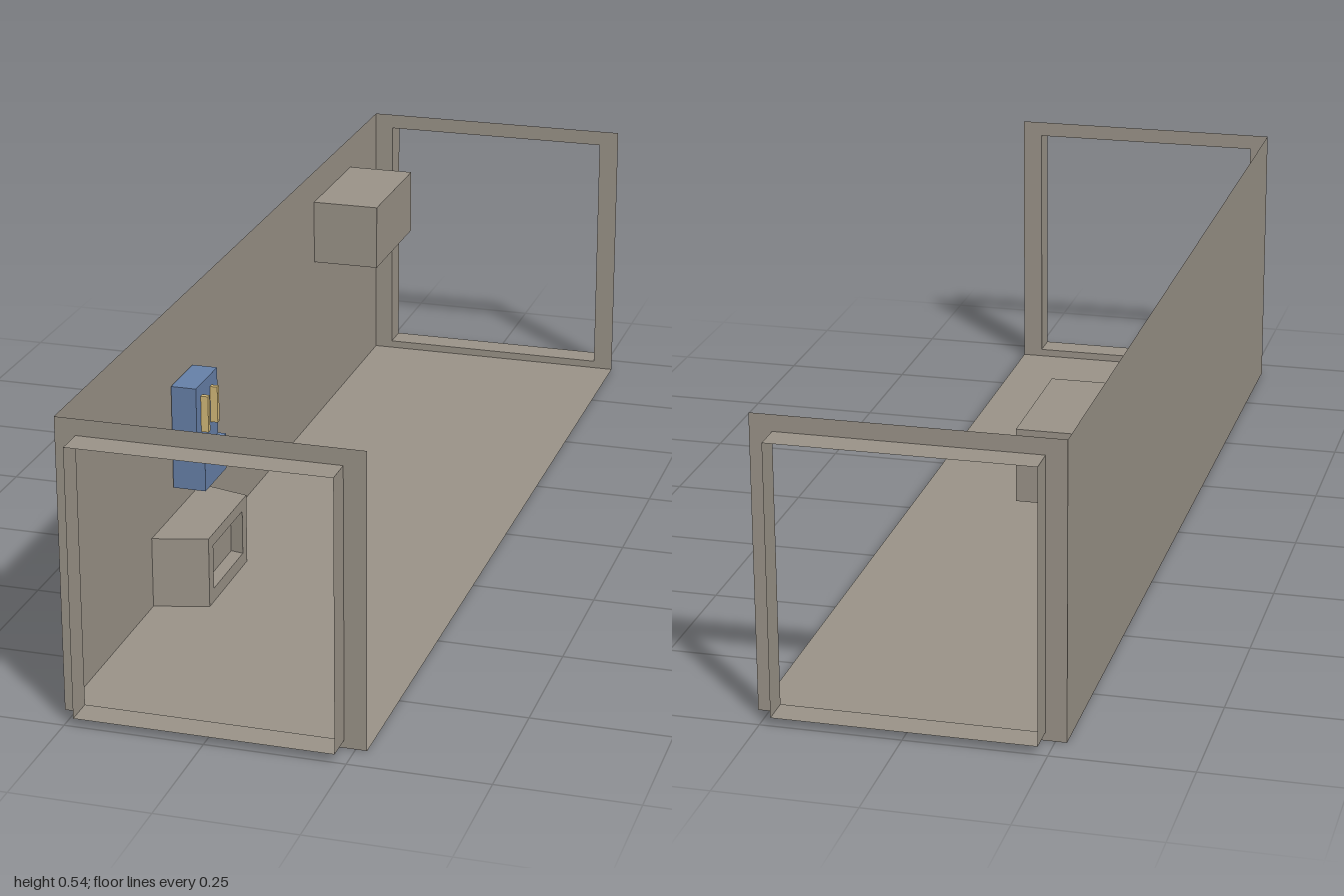
import * as THREE from 'three';

const HALF_W = 0.27, HEIGHT = 0.54, HALF_L = 0.945;
const OPEN = { x0: -0.233, x1: 0.23, y0: 0.015, y1: 0.51 };

export function createModel() {
  const model = new THREE.Group();
  model.name = 'cabinShell';
  const sheet = new THREE.MeshStandardMaterial({ name: 'warm grey', color: 0x9a9388, side: THREE.DoubleSide });
  const blue = new THREE.MeshStandardMaterial({ name: 'blue', color: 0x6680a8 });
  const yellow = new THREE.MeshStandardMaterial({ name: 'yellow', color: 0xd2b878 });

  const add = (name, geometry, material, parent = model) => {
    const mesh = new THREE.Mesh(geometry, material);
    mesh.name = name;
    parent.add(mesh);
    return mesh;
  };
  // Box given by its minimum and maximum on each axis
  const box = (x0, x1, y0, y1, z0, z1) =>
    new THREE.BoxGeometry(x1 - x0, y1 - y0, z1 - z0)
      .translate((x0 + x1) / 2, (y0 + y1) / 2, (z0 + z1) / 2);
  const rect = (C, a0, a1, b0, b1) => new C([
    new THREE.Vector2(a0, b0), new THREE.Vector2(a1, b0),
    new THREE.Vector2(a1, b1), new THREE.Vector2(a0, b1),
  ]);

  // Floor and the single side wall, both thin sheets
  add('floor', new THREE.PlaneGeometry(2 * HALF_W, 2 * HALF_L).rotateX(-Math.PI / 2), sheet);
  add('sideWall', new THREE.PlaneGeometry(2 * HALF_L, HEIGHT).rotateY(Math.PI / 2)
    .translate(-HALF_W, HEIGHT / 2, 0), sheet);

  // End frames: a flat surround with a door lip running outwards
  const { x0, x1, y0, y1 } = OPEN;
  for (const s of [1, -1]) {
    const end = new THREE.Group();
    end.name = s > 0 ? 'frontEnd' : 'backEnd';
    model.add(end);
    const surround = rect(THREE.Shape, -HALF_W, HALF_W, 0, HEIGHT);
    surround.holes.push(rect(THREE.Path, x0, x1, y0, y1));
    add('surround', new THREE.ShapeGeometry(surround).translate(0, 0, s * HALF_L), sheet, end);
    const depth = 1 - HALF_L, z = s * (1 + HALF_L) / 2;
    for (const x of [x0, x1])
      add('lipSide', new THREE.PlaneGeometry(depth, y1 - y0).rotateY(Math.PI / 2)
        .translate(x, (y0 + y1) / 2, z), sheet, end);
    for (const y of [y0, y1])
      add('lipEdge', new THREE.PlaneGeometry(x1 - x0, depth).rotateX(-Math.PI / 2)
        .translate((x0 + x1) / 2, y, z), sheet, end);
  }

  // Wall cabinet
  add('wallCabinet', box(-HALF_W, -0.135, 0.345, 0.475, -0.75, -0.49), sheet);

  // Floor unit, narrowing away from the wall, with a recessed panel
  const unit = new THREE.Group();
  unit.name = 'floorUnit';
  model.add(unit);
  const mid = 0.37, halfWall = 0.135, halfFace = 0.108, faceX = -0.17, recessX = -0.195;
  const taper = (g) => {
    const p = g.attributes.position;
    for (let i = 0; i < p.count; i++) {
      const t = (p.getX(i) + HALF_W) / (faceX + HALF_W);
      const half = halfWall + (halfFace - halfWall) * t;
      p.setZ(i, mid + (p.getZ(i) - mid) * half / halfFace);
    }
    g.computeVertexNormals();
    return g;
  };
  add('unitBody', taper(box(-HALF_W, recessX, 0, 0.135, mid - halfFace, mid + halfFace)), sheet, unit);
  const face = rect(THREE.Shape, -halfFace, halfFace, 0, 0.135);
  face.holes.push(rect(THREE.Path, -0.083, 0.083, 0.026, 0.112));
  const rim = new THREE.ExtrudeGeometry(face, { depth: faceX - recessX, bevelEnabled: false });
  add('unitRim', taper(rim.rotateY(Math.PI / 2).translate(recessX, 0, mid)), sheet, unit);

  // Fold-down seat on the wall with two straps
  const seat = new THREE.Group();
  seat.name = 'wallSeat';
  model.add(seat);
  add('seatBack', box(-HALF_W + 0.002, -0.22, 0.26, 0.39, 0.272, 0.39), blue, seat);
  add('seatBase', box(-HALF_W + 0.002, -0.205, 0.19, 0.26, 0.272, 0.39), blue, seat);
  for (const z of [0.36, 0.308])
    add('strap', box(-0.22, -0.206, 0.297, 0.367, z - 0.005, z + 0.005), yellow, seat);

  return model;
}
